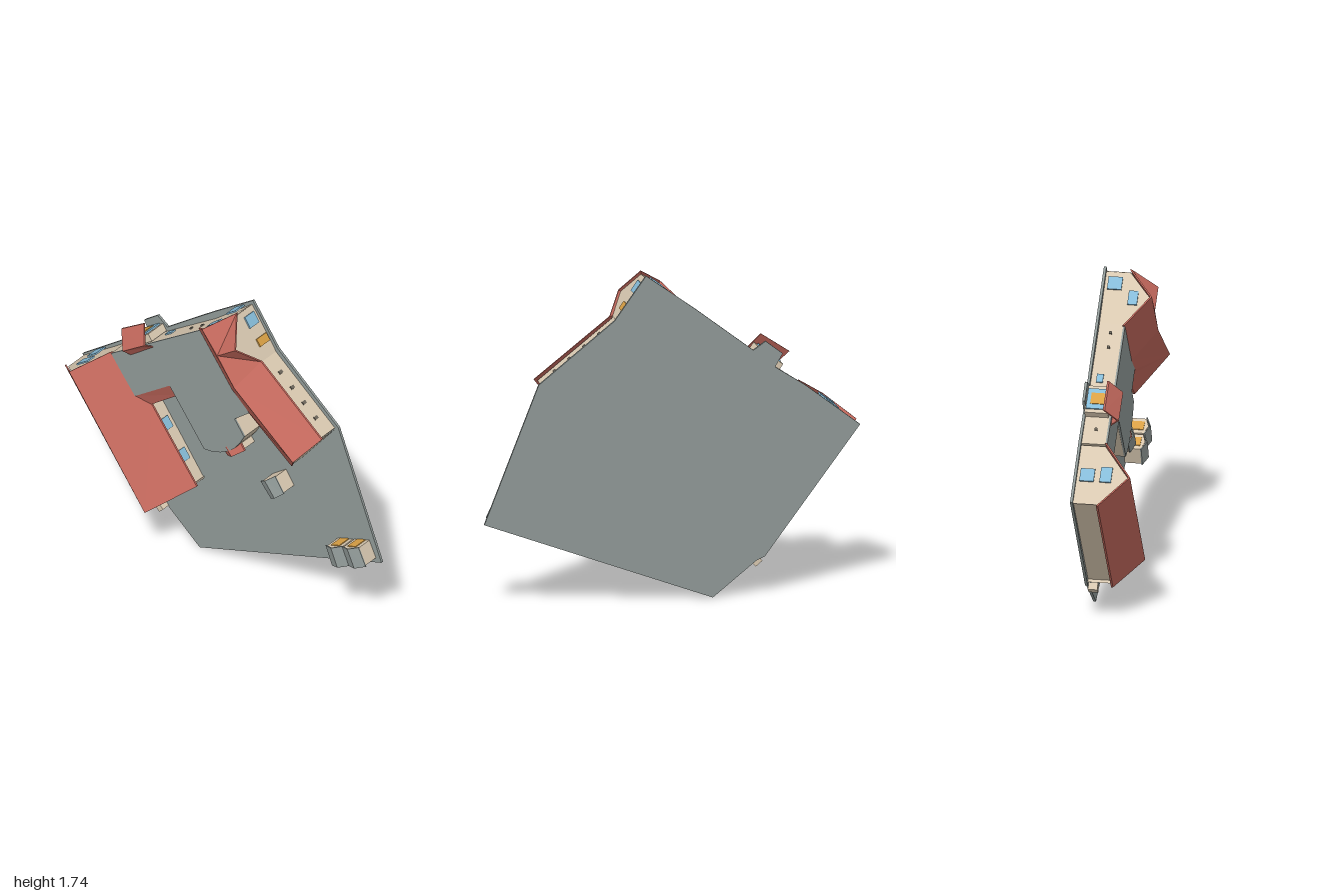
import * as THREE from 'three';

// The plan lies in x/y, heights run along z.
const BASE = -0.135, RIDGE_L = 0.147, RIDGE_R = 0.125, LOW = -0.037;
const mat = (color) => new THREE.MeshStandardMaterial({ color, side: THREE.DoubleSide, flatShading: true });

export function createModel() {
  const model = new THREE.Group();
  const red = mat(0xc4695d), stone = mat(0x8f9896), wall = mat(0xd8c8b0);
  const glass = mat(0x86bbd8), wood = mat(0xd9a045), dark = mat(0x6a6459);

  const add = (name, geometry, material, parent = model) => {
    const mesh = new THREE.Mesh(geometry, material);
    mesh.name = name;
    parent.add(mesh);
    return mesh;
  };

  // Upright block over a plan outline
  const block = (name, outline, z0, z1, material, parent) => {
    const shape = new THREE.Shape(outline.map(([x, y]) => new THREE.Vector2(x, y)));
    const g = new THREE.ExtrudeGeometry(shape, { depth: z1 - z0, bevelEnabled: false });
    g.translate(0, 0, z0);
    return add(name, g, material, parent);
  };

  // Sloping slab: corners counter-clockwise from above, thickness downwards
  const slab = (name, pts, material = red, t = 0.01, parent = model) => {
    const low = pts.map(([x, y, z]) => [x, y, z - t]), v = [];
    const tri = (...c) => c.forEach((p) => v.push(...p));
    for (let i = 1; i < pts.length - 1; i++) {
      tri(pts[0], pts[i], pts[i + 1]);
      tri(low[0], low[i + 1], low[i]);
    }
    pts.forEach((p, i) => {
      const j = (i + 1) % pts.length;
      tri(low[i], low[j], pts[j]);
      tri(low[i], pts[j], p);
    });
    const g = new THREE.BufferGeometry();
    g.setAttribute('position', new THREE.Float32BufferAttribute(v, 3));
    g.computeVertexNormals();
    return add(name, g, material, parent);
  };

  // Upright gable face between two eave points and a ridge point, set back by (dx, dy)
  const gable = (name, a, r, b, [dx, dy], parent = model, k = 0.93) => {
    const pull = (p) => [r[0] + (p[0] - r[0]) * k + dx, r[1] + (p[1] - r[1]) * k + dy];
    const A = pull(a), B = pull(b), drop = 0.012;
    const v = [[...A, BASE], [...B, BASE], [...B, b[2] - drop / 2], [r[0] + dx, r[1] + dy, r[2] - drop], [...A, a[2] - drop / 2]];
    const g = new THREE.BufferGeometry();
    g.setAttribute('position', new THREE.Float32BufferAttribute([0, 1, 2, 0, 2, 3, 0, 3, 4].flatMap((i) => v[i]), 3));
    g.computeVertexNormals();
    return add(name, g, wall, parent);
  };

  // Thin panel on the wall a-b, centred at fraction t
  const panel = (name, a, b, t, width, z0, z1, material, out = 0) => {
    const dx = b[0] - a[0], dy = b[1] - a[1], len = Math.hypot(dx, dy);
    const m = add(name, new THREE.BoxGeometry(width, 0.008, z1 - z0), material);
    m.position.set(a[0] + dx * t + (dy / len) * out, a[1] + dy * t - (dx / len) * out, (z0 + z1) / 2);
    m.rotation.z = Math.atan2(dy, dx);
  };

  // Ground plate
  block('ground', [[-0.21, 0], [1, 0.45], [0.712, 1.183], [0.31, 1.505], [0.143, 1.737], [-0.12, 1.545], [-0.425, 1.31],
    [-0.49, 1.355], [-0.58, 1.285], [-0.54, 1.215], [-0.7, 1.11], [-0.99, 0.885], [-0.485, 0.205], [-0.44, 0.185]], -0.147, BASE + 0.002, stone);

  // Left wing: walls, gables and roof
  block('leftWingWalls', [[-0.97, 0.88], [-0.47, 0.232], [-0.225, 0.42], [-0.7, 1.085]], BASE, -0.006, wall);
  block('leftWingLowWalls', [[-0.225, 0.42], [-0.18, 0.457], [-0.46, 0.835], [-0.56, 0.88]], BASE, -0.03, wall);
  const L = {
    nw: [-1, 0.88, 0], n: [-0.853, 0.987, RIDGE_L], ne: [-0.693, 1.104, 0],
    sw: [-0.489, 0.206, 0], s: [-0.35, 0.313, RIDGE_L], se: [-0.152, 0.468, LOW],
    valley: [-0.532, 0.896, 0], corner: [-0.452, 0.858, LOW],
  };
  slab('leftWingOuterRoof', [L.nw, L.sw, L.s, L.n]);
  slab('leftWingInnerRoof', [L.s, L.se, L.corner, L.valley, L.ne, L.n]);
  gable('leftWingBackGable', L.ne, L.n, L.nw, [0.008, -0.01]);
  gable('leftWingFrontGable', L.sw, L.s, L.se, [-0.01, 0.014]);

  // Lean-to roof in the courtyard corner
  slab('leanToRoof', [L.valley, L.corner, [-0.259, 1.008, LOW], [-0.302, 1.067, 0.002]]);

  // Flat-roofed middle block with its rounded courtyard end
  const middle = (lean) => [[-0.693, 1.095], ...lean, [-0.072, 0.767], [-0.02, 0.774],
    [0.035, 0.794], [0.084, 0.822], [0.126, 0.858], [0.165, 0.91], [0.195, 0.965], [0.131, 1.051], [0.227, 1.131], [0.14, 1.27], [-0.09, 1.52]];
  block('middleWalls', middle([[-0.54, 0.9], [-0.302, 1.06]]), BASE, -0.008, wall);
  block('flatRoof', middle([[-0.532, 0.896], [-0.302, 1.067]]), -0.008, 0.002, stone);
  block('leanToWalls', [[-0.53, 0.89], [-0.45, 0.87], [-0.268, 1.012], [-0.302, 1.06]], BASE, LOW - 0.005, wall);

  // Right wing: walls and cranked roof with a cross gable
  block('rightWingWalls', [[-0.09, 1.515], [0.125, 1.235], [0.24, 1.145], [0.51, 0.945], [0.69, 1.172], [0.298, 1.482], [0.137, 1.712]], BASE, -0.006, wall);
  block('rightWingLowWalls', [[0.24, 1.145], [0.21, 1.1], [0.475, 0.905], [0.51, 0.945]], BASE, -0.032, wall);
  const R = {
    nw: [-0.11, 1.521, 0], n: [0.013, 1.639, RIDGE_R], ne: [0.142, 1.73, 0], cross: [0.115, 1.516, RIDGE_R],
    apex: [0.233, 1.602, RIDGE_R], e: [0.307, 1.495, 0], bend: [0.227, 1.361, RIDGE_R], inner: [0.115, 1.227, 0],
    step: [0.227, 1.131, 0], stepLow: [0.19, 1.099, LOW], sw: [0.479, 0.885, LOW], s: [0.618, 1.061, RIDGE_R], se: [0.709, 1.179, 0],
  };
  slab('rightWingInnerRoof', [R.nw, R.inner, R.bend, R.n]);
  slab('rightWingFrontInnerRoof', [R.s, R.bend, R.inner, R.step, R.stepLow, R.sw]);
  slab('rightWingFrontOuterRoof', [R.bend, R.s, R.se, R.e]);
  slab('rightWingBackRoof', [R.n, R.cross, R.ne]);
  slab('crossGableBackRoof', [R.cross, R.apex, R.ne]);
  slab('crossGableFrontRoof', [R.cross, R.e, R.apex]);
  slab('rightWingValleyRoof', [R.cross, R.bend, R.e]);
  gable('rightWingBackGable', R.ne, R.n, R.nw, [0.008, -0.01]);
  gable('crossGable', R.e, R.apex, R.ne, [-0.01, -0.007]);
  gable('rightWingFrontGable', R.sw, R.s, R.se, [-0.014, -0.01]);

  // Back entrance canopy with door and side posts
  const ridgeA = [-0.58, 1.185, 0.045], ridgeB = [-0.436, 1.286, 0.045];
  slab('entranceRoofOuter', [[-0.64, 1.265, -0.02], ridgeA, ridgeB, [-0.49, 1.366, -0.02]]);
  slab('entranceRoofInner', [ridgeA, [-0.56, 1.147, 0.002], [-0.409, 1.265, 0.002], ridgeB]);
  block('entrancePorch', [[-0.56, 1.19], [-0.43, 1.285], [-0.455, 1.32], [-0.585, 1.225]], BASE, -0.012, wall);
  const porch = [[-0.585, 1.225], [-0.455, 1.32]];
  panel('entranceGlass', porch[1], porch[0], 0.5, 0.12, -0.13, -0.02, glass, 0.004);
  panel('entranceDoor', porch[1], porch[0], 0.5, 0.065, -0.11, -0.02, wood, 0.008);

  // Courtyard porch
  const pr = [0.075, 0.848, 0.005], pf = [0.112, 0.802, 0.005];
  slab('porchRoofLeft', [[0.019, 0.8, -0.035], [0.056, 0.762, -0.035], pf, pr]);
  slab('porchRoofRight', [pr, pf, [0.168, 0.842, -0.035], [0.131, 0.896, -0.035]]);
  block('porchWalls', [[0.03, 0.803], [0.06, 0.773], [0.156, 0.843], [0.125, 0.88]], BASE, -0.04, wall);

  // Gabled huts: ridge runs from the middle of a-b to the middle of c-d
  const mid = (p, q, t = 0.5) => [p[0] + (q[0] - p[0]) * t, p[1] + (q[1] - p[1]) * t];
  const hut = (name, a, b, c, d) => {
    const group = new THREE.Group();
    group.name = name;
    model.add(group);
    const at = (p, z) => [...p, z], m = mid(a, b), n = mid(c, d), eave = -0.04, top = -0.015;
    slab('hutRoofLeft', [at(a, eave), at(d, eave), at(n, top), at(m, top)], stone, 0.006, group);
    slab('hutRoofRight', [at(m, top), at(n, top), at(c, eave), at(b, eave)], stone, 0.006, group);
    const o = mid(m, n), inset = (p) => mid(p, o, 0.08);
    block('hutWalls', [a, d, c, b].map(inset), BASE, eave - 0.004, wall, group);
    for (const [p, r, q, t] of [[a, m, b, 0.08], [c, n, d, 0.08]]) {
      const shift = [(o[0] - r[0]) * t, (o[1] - r[1]) * t];
      gable('hutGable', at(p, eave), at(r, top), at(q, eave), shift, group, 0.92);
    }
  };
  hut('courtyardHut', [0.27, 0.693], [0.366, 0.767], [0.425, 0.682], [0.34, 0.612]);
  const g = [[0.703, 0.479], [0.922, 0.564], [0.97, 0.463], [0.746, 0.372]];
  const gb = mid(g[0], g[1]), gf = mid(g[3], g[2]);
  hut('garageLeft', g[0], gb, gf, g[3]);
  hut('garageRight', gb, g[1], g[2], gf);
  for (const t of [0.25, 0.75]) panel('garageDoor', g[1], g[0], t, 0.06, -0.13, -0.05, wood, -0.004);

  // Small store beside the left wing
  block('store', [[-0.475, 0.18], [-0.44, 0.15], [-0.415, 0.175], [-0.45, 0.21]], BASE, -0.085, wall);

  // Windows on the back walls
  const back = [[0.13, 1.714], [-0.97, 0.893]];
  for (const x of [-0.85, 0.075]) panel('backWindow', back[0], back[1], (0.13 - x) / 1.1, 0.075, -0.115, -0.04, glass, 0.006);
  panel('backWindow', [-0.09, 1.52], [-0.693, 1.095], 0.46, 0.05, -0.105, -0.07, glass, 0.003);
  for (const t of [0.08, 0.2, 0.62, 0.88]) panel('backVent', [-0.09, 1.52], [-0.693, 1.095], t, 0.014, -0.075, -0.06, dark, 0.003);
  panel('backGableWindow', R.ne, R.nw, 0.5, 0.08, 0, 0.05, glass, -0.001);
  panel('backGableWindow', L.ne, L.nw, 0.5, 0.09, -0.01, 0.05, glass, -0.001);

  // Windows on the side, gable and courtyard walls
  const side = [[0.298, 1.486], [0.137, 1.718]];
  panel('sideWindow', ...side, 0.75, 0.065, -0.115, -0.04, glass, 0.005);
  panel('sideDoor', ...side, 0.32, 0.045, -0.125, -0.045, wood, 0.005);
  for (const t of [0.2, 0.4, 0.6, 0.8]) panel('sideVent', [0.69, 1.172], [0.298, 1.482], t, 0.018, -0.085, -0.06, dark, 0.002);
  for (const [a, b] of [[R.sw, R.se], [L.sw, L.se]]) {
    for (const t of [0.3, 0.6]) panel('gableWindow', a, b, t, 0.06, -0.11, -0.04, glass, -0.012);
    panel('atticWindow', a, b, 0.55, 0.05, 0, 0.04, glass, -0.012);
  }
  for (const t of [0.35, 0.75]) panel('courtyardWindow', [-0.18, 0.457], [-0.46, 0.835], t, 0.065, -0.11, -0.045, glass, 0.002);
  return model;
}
